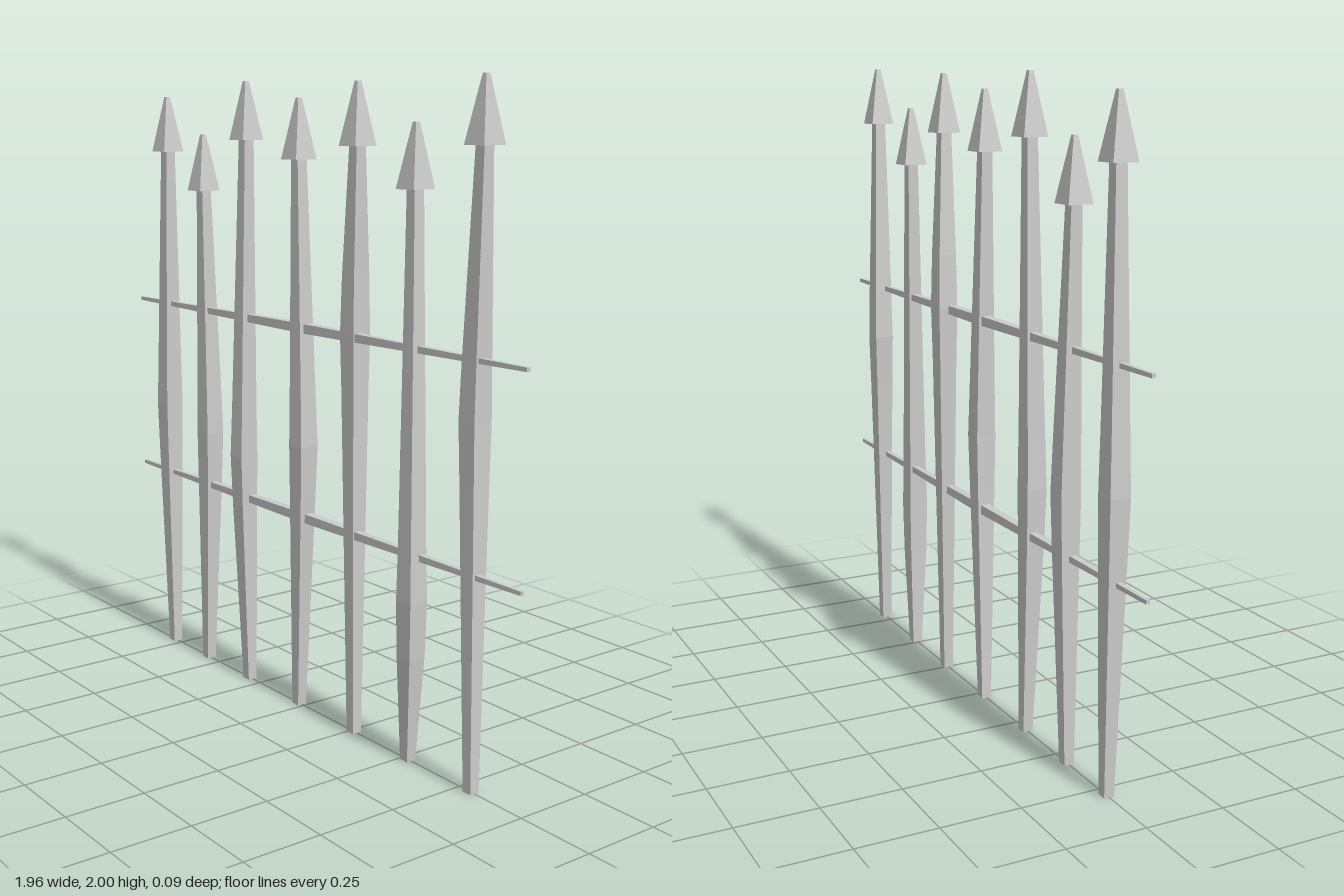
import * as THREE from 'three';

const material = new THREE.MeshStandardMaterial({ color: 0xcccccc, flatShading: true });

// Square bar along y through rings of [y, centre x, centre z, half width]
function squareBar(name, rings) {
  const n = rings.length - 1;
  const geo = new THREE.BoxGeometry(2, n, 2, 1, n, 1);
  const p = geo.attributes.position;
  for (let i = 0; i < p.count; i++) {
    const [y, cx, cz, half] = rings[Math.round(p.getY(i) + n / 2)];
    p.setXYZ(i, cx + Math.sign(p.getX(i)) * half, y, cz + Math.sign(p.getZ(i)) * half);
  }
  geo.computeVertexNormals();
  const mesh = new THREE.Mesh(geo, material);
  mesh.name = name;
  return mesh;
}

// Post: x, tip height, bulge height, bulge offset in x and z
const posts = [
  [-0.79, 1.955, 0.88, -0.018, -0.003],
  [-0.565, 1.83, 0.82, 0.014, -0.006],
  [-0.31, 2.0, 0.78, -0.012, 0.01],
  [-0.026, 1.945, 0.87, 0.03, 0.005],
  [0.262, 1.99, 1.25, -0.024, -0.014],
  [0.521, 1.875, 0.5, 0.022, 0.012],
  [0.797, 2.0, 1.07, -0.032, -0.016],
];

export function createModel() {
  const fence = new THREE.Group();
  fence.name = 'spikedFence';

  for (const [x, tip, bulgeY, dx, dz] of posts) {
    const post = new THREE.Group();
    post.name = 'post';
    post.position.x = x;
    const base = tip - 0.185;
    // Crooked shaft, thickest at the bulge
    post.add(squareBar('shaft', [
      [0, 0, 0, 0.016],
      [bulgeY - 0.17, dx * 0.84, dz * 0.84, 0.029],
      [bulgeY, dx, dz, 0.032],
      [bulgeY + 0.17, dx * 0.84, dz * 0.84, 0.029],
      [base + 0.01, 0, 0, 0.017],
    ]));
    // Spear head with a small blunt tip
    post.add(squareBar('spearHead', [[base, 0, 0, 0.039], [tip, 0, 0, 0.007]]));
    fence.add(post);
  }

  // Cross rails, tapering towards both ends
  for (const y of [0.637, 1.243]) {
    const rail = squareBar('rail', [
      [-0.98, 0, 0, 0.006],
      [-0.2, 0, 0, 0.0135],
      [0, 0, 0, 0.015],
      [0.2, 0, 0, 0.0135],
      [0.98, 0, 0, 0.006],
    ]);
    rail.rotation.z = Math.PI / 2;
    rail.position.y = y;
    fence.add(rail);
  }
  return fence;
}
